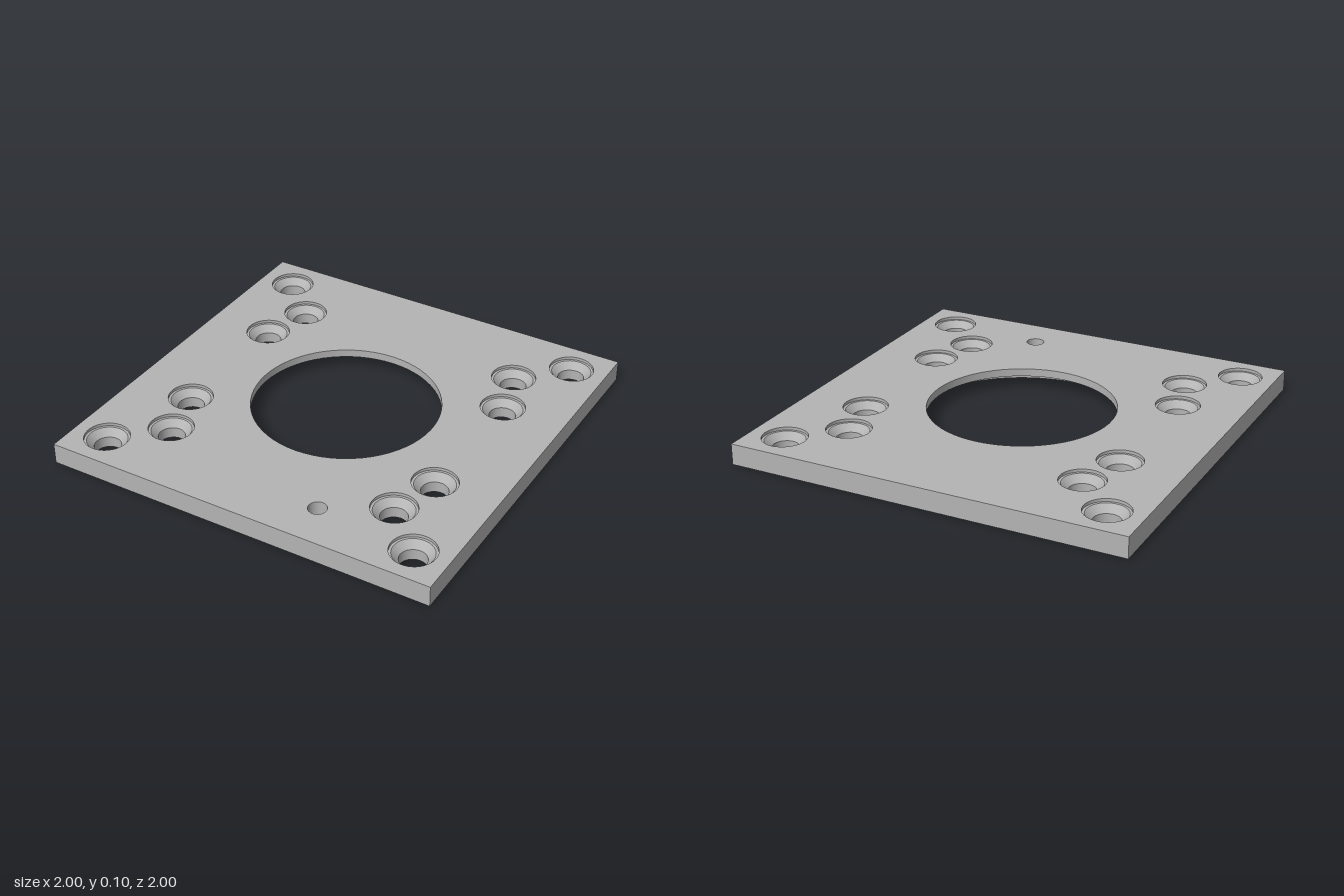
import * as THREE from 'three';
import { mergeGeometries } from 'three/addons/utils/BufferGeometryUtils.js';

const T = 0.105;        // plate thickness
const BORE = 0.465;     // central opening radius
const RECESS = 0.598;   // underside recess radius
const STEP = 0.065;     // underside recess depth
const PIN = { x: 0.315, z: 0.783, r: 0.045 };

// Screw positions, mirrored into all four quadrants
const screws = [];
for (const [x, z] of [[0.823, 0.823], [0.607, 0.607], [0.675, 0.348]])
  for (const sx of [-1, 1]) for (const sz of [-1, 1]) screws.push([x * sx, z * sz]);

// Square face with a central opening, screw holes and pin hole; dir 1 faces up, -1 faces down
function face(centreRadius, screwRadius, y, dir) {
  const shape = new THREE.Shape([[-1, -1], [1, -1], [1, 1], [-1, 1]].map(p => new THREE.Vector2(...p)));
  const hole = (x, z, r) => shape.holes.push(new THREE.Path().absarc(x, -dir * z, r, 0, Math.PI * 2, true));
  hole(0, 0, centreRadius);
  screws.forEach(([x, z]) => hole(x, z, screwRadius));
  hole(PIN.x, PIN.z, PIN.r);
  return new THREE.ShapeGeometry(shape, 32).rotateX(-dir * Math.PI / 2).translate(0, y, 0);
}

// Revolved wall with a sharp edge at every profile point
function turned(profile, segments) {
  const bands = [];
  for (let i = 0; i + 1 < profile.length; i++)
    bands.push(new THREE.LatheGeometry([profile[i], profile[i + 1]].map(p => new THREE.Vector2(...p)), segments));
  return mergeGeometries(bands);
}

export function createModel() {
  const group = new THREE.Group();
  const grey = new THREE.MeshStandardMaterial({ color: 0xb4b4b4 });
  grey.name = 'plain grey';
  const add = (name, geometry, x = 0, z = 0) => {
    const mesh = new THREE.Mesh(geometry, grey);
    mesh.name = name;
    mesh.position.set(x, 0, z);
    group.add(mesh);
  };

  // Flat faces and outer edges
  add('plateTop', face(BORE, 0.11, T, 1));
  add('plateUnderside', face(RECESS, 0.065, 0, -1));
  const edges = [];
  for (let i = 0; i < 4; i++)
    edges.push(new THREE.PlaneGeometry(2, T).translate(0, T / 2, 1).rotateY(i * Math.PI / 2));
  add('plateEdges', mergeGeometries(edges));

  // Central bore stepping out into the underside recess
  add('centralBore', turned([[BORE, T], [BORE, STEP], [RECESS, STEP], [RECESS, 0]], 64));

  // Countersunk screw holes: shallow counterbore, ledge, cone, through hole
  const sink = turned([[0.11, T], [0.11, T - 0.015], [0.098, T - 0.015],
    [0.065, T - 0.05], [0.065, 0]], 64);
  screws.forEach(([x, z]) => add('screwHole', sink, x, z));

  // Small pin hole
  add('pinHole', turned([[PIN.r, T], [PIN.r, 0]], 64), PIN.x, PIN.z);
  return group;
}
